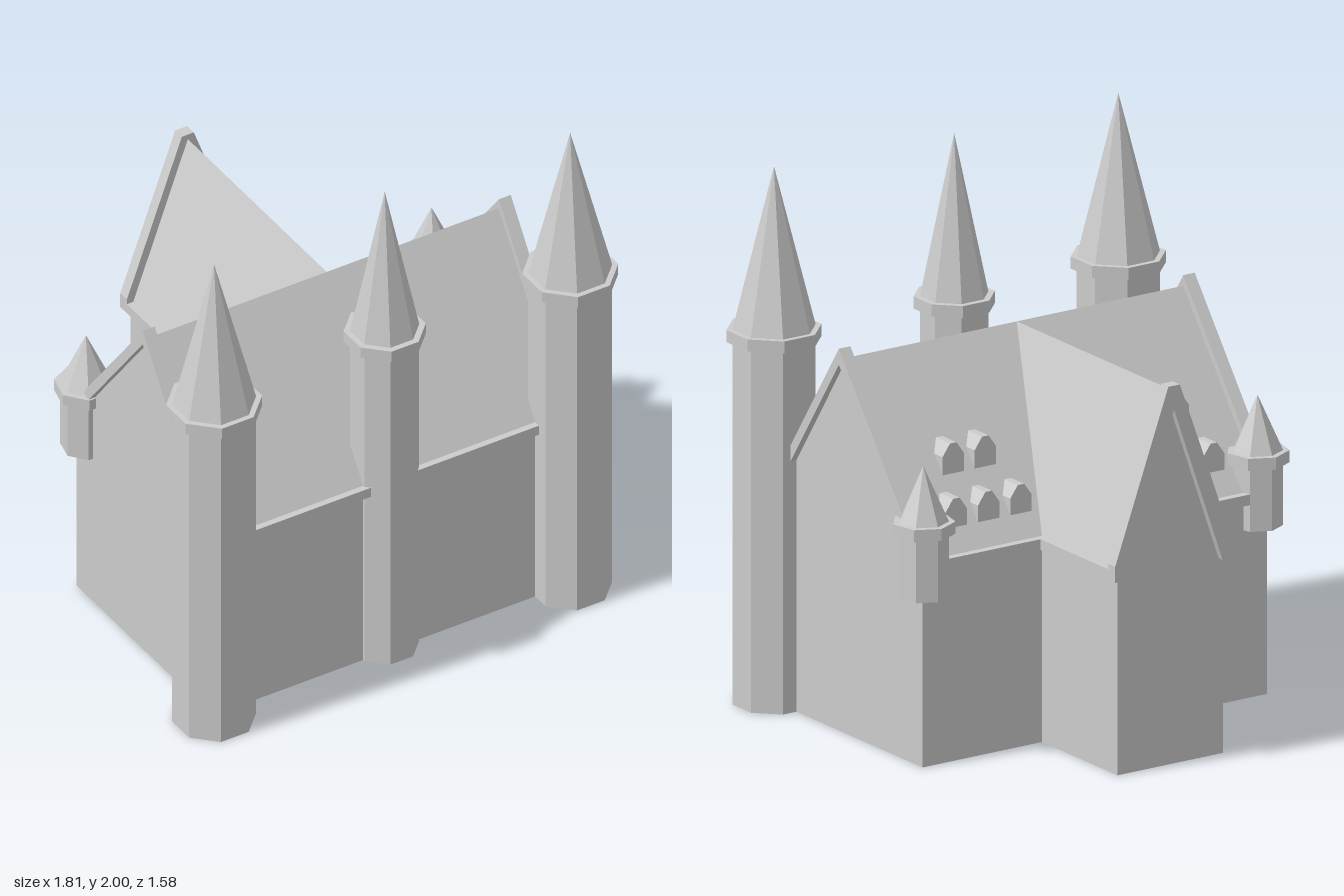
import * as THREE from 'three';

const material = new THREE.MeshStandardMaterial({ color: 0xcccccc, flatShading: true });

function addMesh(parent, name, geometry, x = 0, y = 0, z = 0) {
  const mesh = new THREE.Mesh(geometry, material);
  mesh.name = name;
  mesh.position.set(x, y, z);
  parent.add(mesh);
  return mesh;
}

// Outline in (x, y), extruded from z0 to z1
function prism(points, z0, z1) {
  const shape = new THREE.Shape(points.map(([x, y]) => new THREE.Vector2(x, y)));
  const geometry = new THREE.ExtrudeGeometry(shape, { depth: z1 - z0, bevelEnabled: false });
  return geometry.translate(0, 0, z0);
}

// Outline in (z, y), extruded along x and centred on x = 0
function sidePrism(points, width) {
  return prism(points, -width / 2, width / 2).rotateY(-Math.PI / 2);
}

// Box given by its limits
function addBox(parent, name, x0, x1, y0, y1, z0, z1) {
  addMesh(parent, name, new THREE.BoxGeometry(x1 - x0, y1 - y0, z1 - z0),
    (x0 + x1) / 2, (y0 + y1) / 2, (z0 + z1) / 2);
}

// Faceted tower: shaft, projecting collar and pointed spire
function addTower(parent, name, { x, z, sides, turn, radius, collar, y0, y1, y2, y3 }) {
  const tower = new THREE.Group();
  tower.name = name;
  tower.position.set(x, 0, z);
  const ring = (part, top, bottom, from, to) =>
    addMesh(tower, part, new THREE.CylinderGeometry(top, bottom, to - from, sides).rotateY(turn),
      0, (from + to) / 2, 0);
  ring('shaft', radius, radius, y0, y1);
  ring('collar', collar, collar, y1, y2);
  addMesh(tower, 'spire', new THREE.ConeGeometry(radius, y3 - y2, sides).rotateY(turn), 0, (y2 + y3) / 2, 0);
  parent.add(tower);
}

export function createModel() {
  const model = new THREE.Group();
  model.name = 'castleHall';

  // Main hall and rear wing, walls and roof together
  addMesh(model, 'mainHall', sidePrism(
    [[-0.295, 0], [0.62, 0], [0.62, 0.77], [0.19, 1.4], [-0.295, 0.77]], 1.49));
  addMesh(model, 'rearWing', prism(
    [[-0.228, 0], [0.228, 0], [0.228, 0.77], [0, 1.4], [-0.228, 0.77]], -0.765, 0.19));

  // Raised gable copings
  const hallCoping = sidePrism([
    [0.645, 0.73], [0.645, 0.772], [0.19, 1.44], [-0.325, 0.77],
    [-0.325, 0.73], [-0.31, 0.73], [0.19, 1.38], [0.633, 0.73],
  ], 0.05);
  for (const side of [-1, 1]) addMesh(model, 'hallCoping', hallCoping, side * 0.745, 0, 0);
  addMesh(model, 'wingCoping', prism([
    [-0.255, 0.73], [-0.21, 0.73], [0, 1.33], [0.21, 0.73], [0.255, 0.73],
    [0.255, 0.79], [0.025, 1.42], [-0.025, 1.42], [-0.255, 0.79],
  ], -0.79, -0.745));

  // Eaves cornices
  addBox(model, 'frontCornice', -0.745, 0.745, 0.73, 0.77, 0.6, 0.645);
  for (const side of [-1, 1]) {
    const span = (a, b) => [Math.min(side * a, side * b), Math.max(side * a, side * b)];
    addBox(model, 'rearCornice', ...span(0.22, 0.745), 0.73, 0.77, -0.325, -0.285);
    addBox(model, 'wingCornice', ...span(0.215, 0.255), 0.73, 0.77, -0.765, -0.3);
  }

  // Front towers, flat sides facing forward
  const k = 1 / Math.cos(Math.PI / 8);
  const tall = { sides: 8, turn: Math.PI / 8, y0: 0, y1: 1.355, y2: 1.4, y3: 2 };
  for (const side of [-1, 1]) {
    addTower(model, 'cornerTower',
      { ...tall, x: side * 0.745, z: 0.63, radius: 0.14 * k, collar: 0.16 * k });
  }
  addTower(model, 'middleTower', { ...tall, x: 0, z: 0.58, radius: 0.115 * k, collar: 0.137 * k });

  // Hanging turrets on the rear corners
  for (const side of [-1, 1]) {
    addTower(model, 'rearTurret', {
      x: side * 0.723, z: -0.268, sides: 7, turn: Math.PI,
      radius: 0.092, collar: 0.115, y0: 0.63, y1: 0.865, y2: 0.91, y3: 1.115,
    });
  }

  // Two rows of dormers on the rear roof slope
  const dormer = prism([
    [-0.046, -0.13], [0.046, -0.13], [0.046, -0.045], [0.014, 0], [-0.014, 0], [-0.046, -0.045],
  ], 0, 0.1);
  const rows = [
    { y: 0.955, z: -0.235, xs: [0.277, 0.417, 0.557] },
    { y: 1.117, z: -0.115, xs: [0.348, 0.487] },
  ];
  for (const { y, z, xs } of rows) {
    for (const x of xs) for (const side of [-1, 1]) addMesh(model, 'dormer', dormer, side * x, y, z);
  }

  return model;
}
